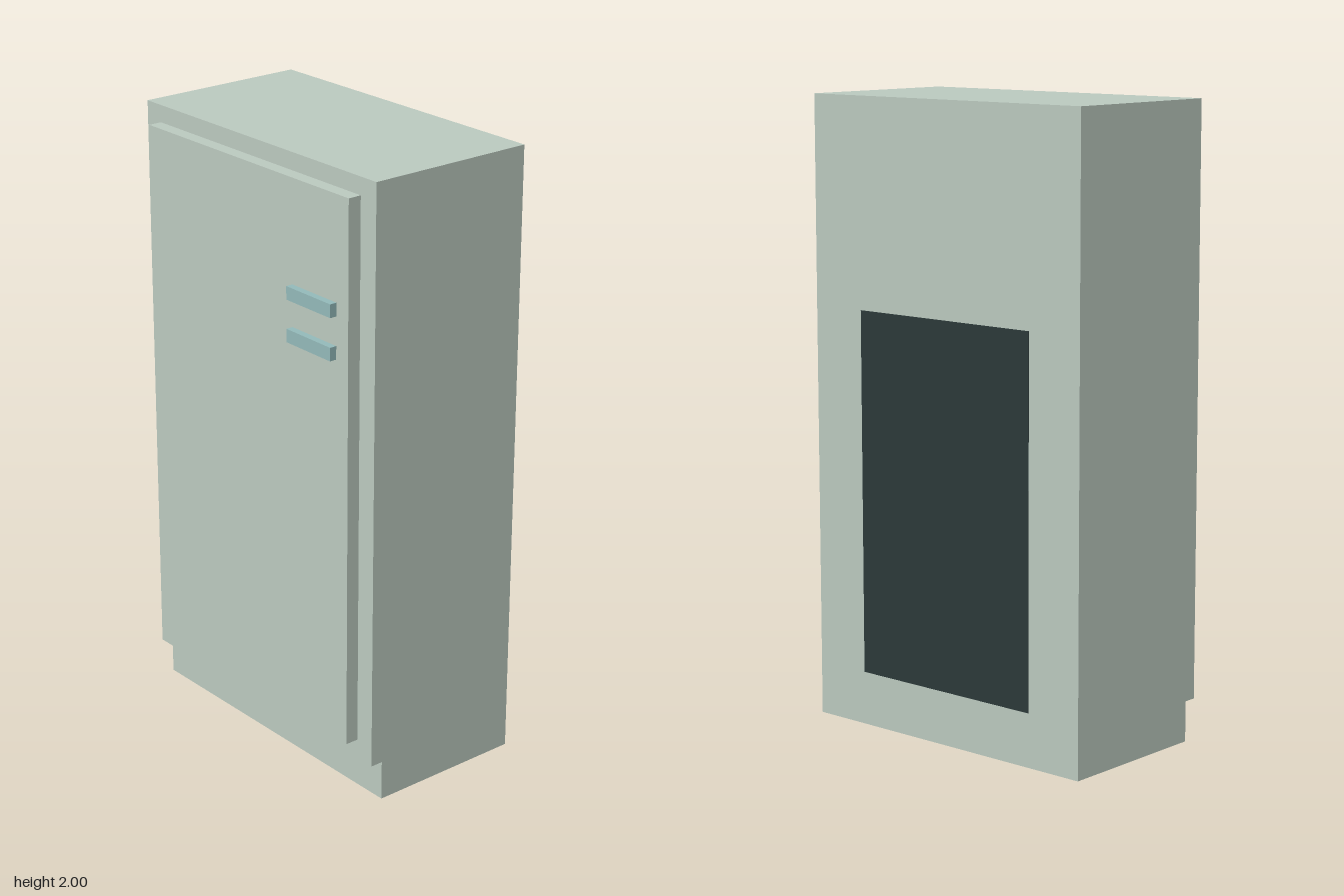
import * as THREE from 'three';

const material = (name, color) => {
  const m = new THREE.MeshStandardMaterial({ color });
  m.name = name;
  return m;
};

export function createModel() {
  const enamel = material('pale green enamel', 0xbac8be);
  const teal = material('teal handle', 0x92b8b8);
  const dark = material('dark grille', 0x2b3838);
  const group = new THREE.Group();
  group.name = 'refrigerator';

  // Box given by its extents on each axis
  const box = (name, mat, [x0, x1], [y0, y1], [z0, z1]) => {
    const mesh = new THREE.Mesh(new THREE.BoxGeometry(x1 - x0, y1 - y0, z1 - z0), mat);
    mesh.position.set((x0 + x1) / 2, (y0 + y1) / 2, (z0 + z1) / 2);
    mesh.name = name;
    group.add(mesh);
  };

  // Cabinet: side profile with a recessed toe kick, extruded across the width
  const profile = new THREE.Shape([
    [0.317, 0], [0.317, 2], [-0.25, 2], [-0.25, 0.13], [-0.208, 0.13], [-0.208, 0],
  ].map(([x, y]) => new THREE.Vector2(x, y)));
  const cabinetGeometry = new THREE.ExtrudeGeometry(profile, { depth: 1.08, bevelEnabled: false });
  cabinetGeometry.translate(0, 0, -0.54).rotateY(Math.PI / 2);
  const cabinet = new THREE.Mesh(cabinetGeometry, enamel);
  cabinet.name = 'cabinet';
  group.add(cabinet);

  // Door and its two handles
  box('door', enamel, [-0.473, 0.473], [0.195, 1.945], [0.25, 0.294]);
  box('upperHandle', teal, [0.22, 0.42], [1.578, 1.62], [0.294, 0.317]);
  box('lowerHandle', teal, [0.22, 0.42], [1.445, 1.487], [0.294, 0.317]);

  // Dark panel on the back
  box('backGrille', dark, [-0.345, 0.345], [0.172, 1.336], [-0.319, -0.316]);

  return group;
}
